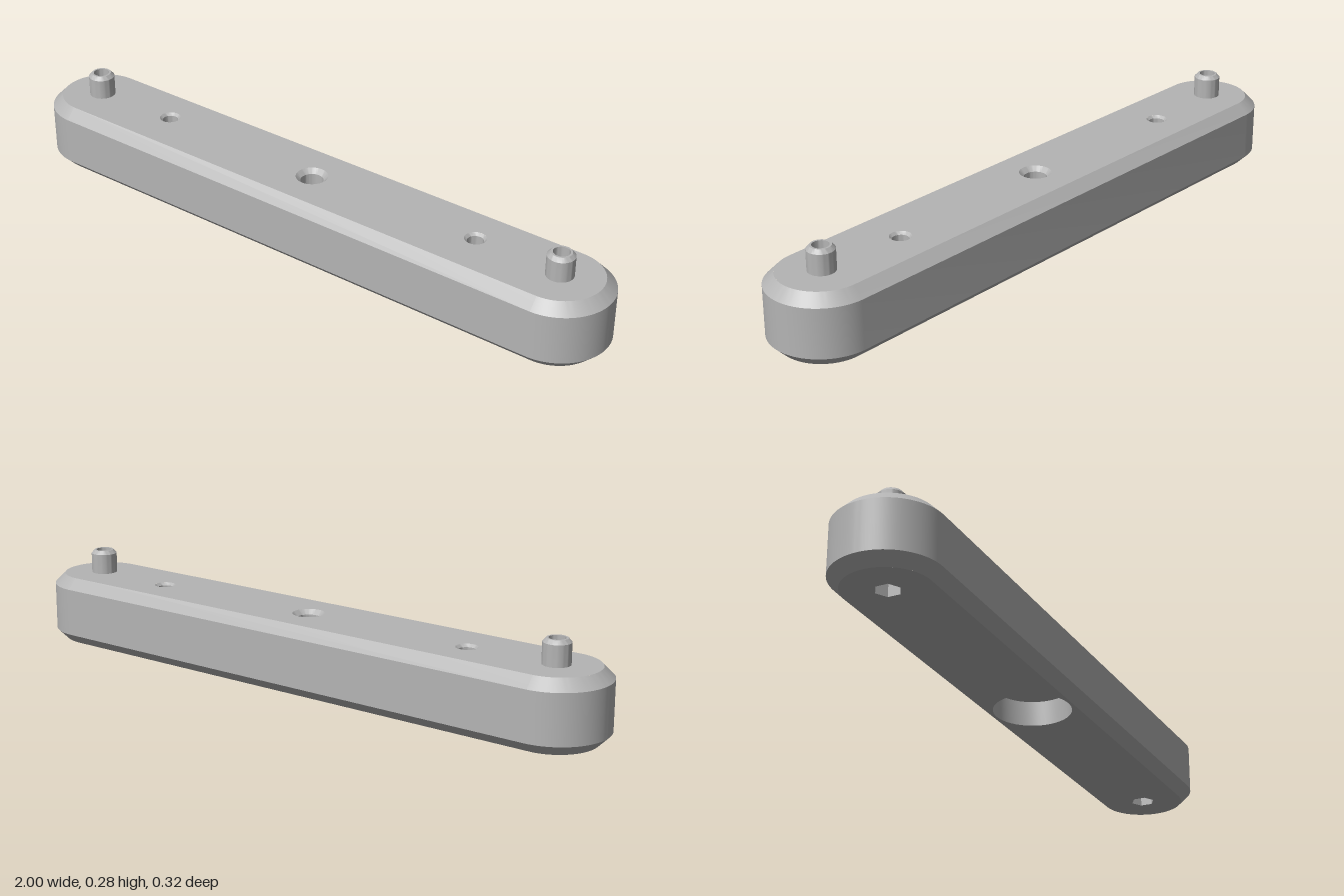
import * as THREE from 'three';
import { toCreasedNormals } from 'three/addons/utils/BufferGeometryUtils.js';

const TOP = 0.212;      // upper face of the bar
const RADIUS = 0.158;   // rounded end radius
const CHAMFER = 0.032;
const END = 0.842;      // centre of each rounded end and its peg
const SCREW_X = 0.565;
const SCREW_Z = -0.011;
const HEX = 0.037;
const SOCKET = 0.09;    // depth of the hexagonal sockets

// Turned surface from [radius, y] pairs, with sharp profile edges
function turned(points, segments = 48, phase = 0) {
  const profile = points.map(([r, y]) => new THREE.Vector2(r, y));
  return new THREE.LatheGeometry(profile, segments, phase);
}

function circle(x, y, r) {
  const path = new THREE.Path();
  path.absarc(x, y, r, 0, Math.PI * 2, true);
  return path;
}

function hexagon(x, y, r) {
  const points = [];
  for (let i = 0; i < 6; i++) {
    const a = (i * Math.PI) / 3;
    points.push(new THREE.Vector2(x + r * Math.sin(a), y + r * Math.cos(a)));
  }
  return new THREE.Path(points);
}

// Flat face with rounded ends and holes
function face(holes) {
  const r = RADIUS - CHAMFER;
  const shape = new THREE.Shape();
  shape.absarc(END, 0, r, -Math.PI / 2, Math.PI / 2, false);
  shape.absarc(-END, 0, r, Math.PI / 2, Math.PI * 1.5, false);
  shape.holes.push(...holes);
  return new THREE.ShapeGeometry(shape, 24);
}

export function createModel() {
  const model = new THREE.Group();
  model.name = 'pegBar';
  const grey = new THREE.MeshStandardMaterial({ color: 0xb4b4b4 });
  grey.name = 'grey';

  function add(name, geometry, x = 0, y = 0, z = 0) {
    const mesh = new THREE.Mesh(geometry, grey);
    mesh.name = name;
    mesh.position.set(x, y, z);
    model.add(mesh);
  }
  const crease = (geometry) => toCreasedNormals(geometry, 0.5);

  // Chamfered side wall: a turned puck pulled apart into a long bar
  const segments = 96;
  const wall = turned([
    [RADIUS - CHAMFER, 0], [RADIUS, CHAMFER],
    [RADIUS, TOP - CHAMFER], [RADIUS - CHAMFER, TOP],
  ], segments, Math.PI / segments);
  const pos = wall.attributes.position;
  for (let i = 0; i < pos.count; i++) {
    pos.setX(i, pos.getX(i) + Math.sign(pos.getX(i)) * END);
  }
  add('barSide', crease(wall));

  // Upper and lower faces
  const topFace = face([
    circle(0, 0, 0.048),
    ...[-1, 1].flatMap((s) => [circle(s * END, 0, 0.04), circle(s * SCREW_X, -SCREW_Z, 0.032)]),
  ]);
  add('barTop', topFace.rotateX(-Math.PI / 2), 0, TOP, 0);
  const bottomFace = face([circle(0, 0, 0.116), hexagon(-END, 0, HEX), hexagon(END, 0, HEX)]);
  add('barBottom', bottomFace.rotateX(Math.PI / 2));

  // Central through hole, countersunk above and counterbored below
  add('centreHole', crease(turned([
    [0.048, TOP], [0.034, TOP - 0.014], [0.034, 0.077], [0.116, 0.077], [0.116, 0],
  ], 64)));

  for (const s of [-1, 1]) {
    const side = s > 0 ? 'left' : 'right';
    // Hollow peg with its bore running down to the socket
    add(side + 'Peg', crease(turned([
      [0.04, TOP], [0.04, 0.274], [0.03, 0.285], [0.024, 0.285], [0.024, SOCKET], [0.04, SOCKET],
    ])), s * END);
    // Hexagonal socket underneath
    add(side + 'Socket', crease(turned([[HEX, SOCKET], [HEX, 0]], 6)), s * END);
    // Blind screw hole
    add(side + 'ScrewHole', crease(turned([
      [0.032, TOP], [0.024, TOP - 0.008], [0.024, 0.1], [0, 0.1],
    ], 32)), s * SCREW_X, 0, SCREW_Z);
  }
  return model;
}
